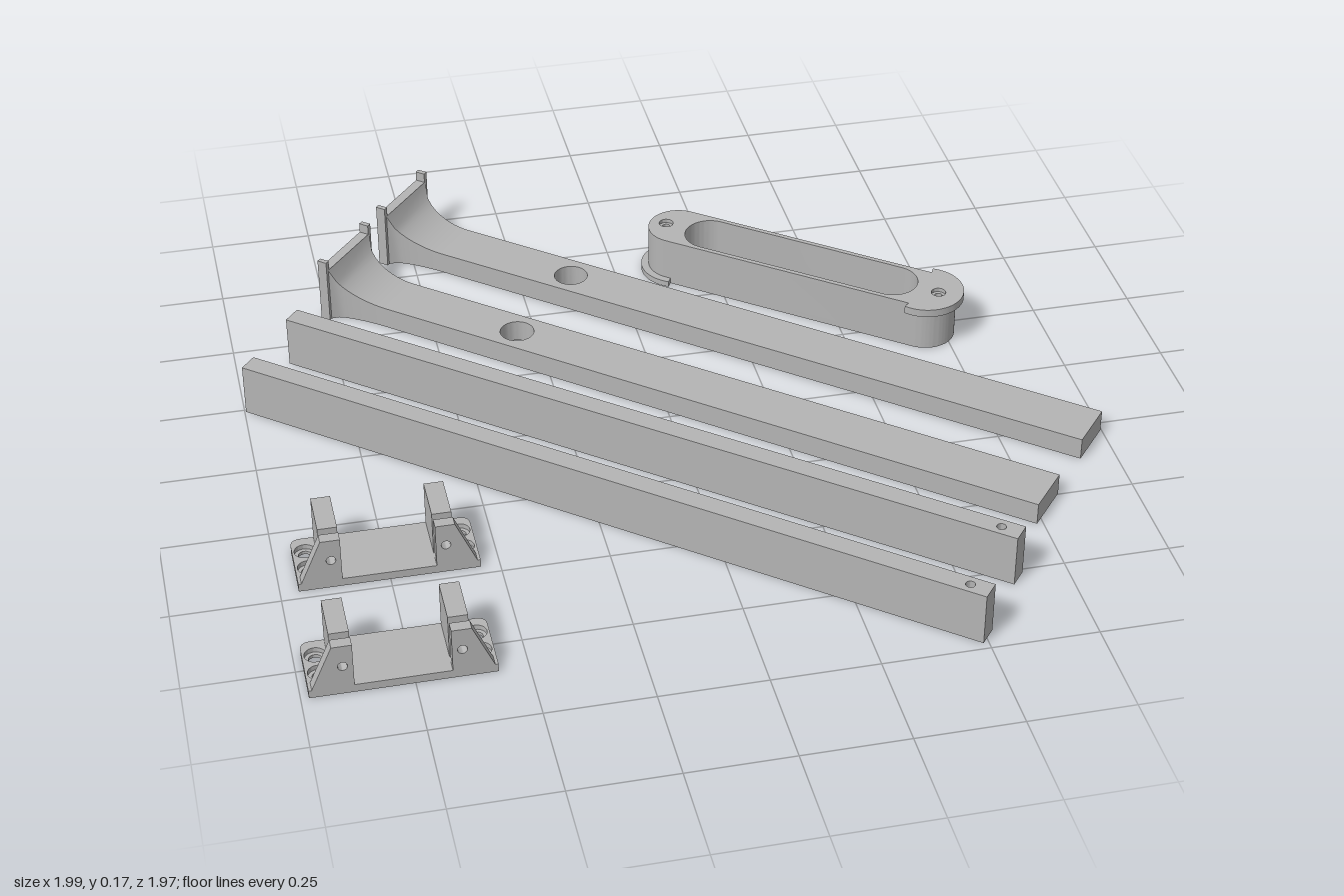
import * as THREE from 'three';
import { toCreasedNormals } from 'three/addons/utils/BufferGeometryUtils.js';

const grey = new THREE.MeshStandardMaterial({ color: 0xb4b4b4 });
grey.name = 'plain grey';

function add(parent, name, geo) {
  const mesh = new THREE.Mesh(toCreasedNormals(geo, 0.6), grey);
  mesh.name = name;
  parent.add(mesh);
  return mesh;
}

// Box given by its min and max corners
function block(parent, name, [x0, y0, z0], [x1, y1, z1]) {
  const geo = new THREE.BoxGeometry(x1 - x0, y1 - y0, z1 - z0);
  geo.translate((x0 + x1) / 2, (y0 + y1) / 2, (z0 + z1) / 2);
  return add(parent, name, geo);
}

// Plan outline (x, z) raised from y0 to y1
function slab(parent, name, shape, y0, y1) {
  const geo = new THREE.ExtrudeGeometry(shape, { depth: y1 - y0, bevelEnabled: false, curveSegments: 24 });
  geo.rotateX(Math.PI / 2).translate(0, y1, 0);
  return add(parent, name, geo);
}

const circle = (x, y, r) => new THREE.Path().absarc(x, y, r, 0, Math.PI * 2, false);
const polygon = (pts) => new THREE.Shape(pts.map(([x, y]) => new THREE.Vector2(x, y)));
const rect = (x0, x1, w) => polygon([[x0, -w], [x1, -w], [x1, w], [x0, w]]);

function capsule(c, r) {
  const s = new THREE.Shape();
  s.absarc(c, 0, r, -Math.PI / 2, Math.PI / 2, false);
  s.absarc(-c, 0, r, Math.PI / 2, Math.PI * 1.5, false);
  s.closePath();
  return s;
}

function place(root, name, x, z, degrees) {
  const g = new THREE.Group();
  g.name = name;
  g.position.set(x, 0, z);
  g.rotation.y = -THREE.MathUtils.degToRad(degrees);
  root.add(g);
  return g;
}

// Slim upright rail with a small pin hole near its front end
function slimRail(g) {
  const s = rect(0, 1.924, 0.025);
  s.holes.push(circle(1.875, 0, 0.011));
  slab(g, 'rail', s, 0, 0.13);
}

// Four-sided loft that sweeps up and out from the bar to the end plate
function flareGeometry(x0, x1) {
  const n = 16, pos = [], idx = [];
  for (let i = 0; i <= n; i++) {
    const t = Math.sin((i / n) * Math.PI / 2);
    const k = 1 - Math.sqrt(Math.max(0, 1 - (1 - t) ** 2));
    const x = x0 + (x1 - x0) * t, w = 0.065 + 0.031 * k, h = 0.055 + 0.088 * k;
    pos.push(x, 0, -w, x, h, -w, x, h, w, x, 0, w);
  }
  for (let i = 0; i < n; i++) for (let j = 0; j < 4; j++) {
    const a = i * 4 + j, b = i * 4 + (j + 1) % 4;
    idx.push(a, b, b + 4, a, b + 4, a + 4);
  }
  const geo = new THREE.BufferGeometry();
  geo.setAttribute('position', new THREE.Float32BufferAttribute(pos, 3));
  geo.setIndex(idx);
  return geo.toNonIndexed();
}

// Flat arm with a round hole and a flared, rimmed end plate
function flatArm(g) {
  const s = rect(0.02, 1.925, 0.065);
  s.holes.push(circle(0.51, 0, 0.042));
  slab(g, 'arm', s, 0, 0.055);
  add(g, 'flare', flareGeometry(0.025, 0.17));
  block(g, 'endPlate', [0.008, 0, -0.102], [0.025, 0.145, 0.102]);
  block(g, 'bottomRim', [0, 0, -0.092], [0.008, 0.01, 0.092]);
  block(g, 'topRim', [0, 0.135, -0.092], [0.008, 0.145, 0.092]);
  for (const side of [-1, 1]) {
    block(g, 'sideTab', [0, 0, side * 0.098 - 0.006], [0.025, 0.17, side * 0.098 + 0.006]);
  }
}

// Long rounded tray with drain holes, screw pads and two end lips
function tray(g) {
  const c = 0.34, r = 0.077, top = 0.125;
  const layer = (name, y0, y1, screw, open) => {
    const s = capsule(c, r);
    for (const side of [-1, 1]) s.holes.push(circle(side * 0.375, 0, screw));
    if (open) s.holes.push(capsule(0.25, 0.065));
    else for (let i = 0; i < 6; i++) s.holes.push(circle((i - 2.5) * 0.099, 0, 0.028));
    slab(g, name, s, y0, y1);
  };
  layer('trayFloor', 0, 0.015, 0.01, false);
  layer('trayWall', 0.015, 0.115, 0.01, true);
  layer('trayRim', 0.115, top, 0.018, true);
  const lip = (side, y0, y1) => {
    const s = new THREE.Shape(), a = 1.75, mid = side > 0 ? 0 : Math.PI;
    s.absarc(side * c, 0, 0.096, mid - a, mid + a, false);
    s.absarc(side * c, 0, r - 0.001, mid + a, mid - a, true);
    s.closePath();
    slab(g, 'endLip', s, y0, y1);
  };
  lip(1, 0.105, top);
  lip(-1, 0, 0.015);
}

// Bracket: base with four counterbored holes and two slotted, gusseted towers
function bracket(g) {
  const X = 0.207, Z = 0.0825, q = 0.025;
  const base = (holeRadius, y0, y1) => {
    const s = new THREE.Shape();
    s.moveTo(-X, Z);
    s.lineTo(-X, -Z + q);
    s.quadraticCurveTo(-X, -Z, -X + q, -Z);
    s.lineTo(X - q, -Z);
    s.quadraticCurveTo(X, -Z, X, -Z + q);
    s.lineTo(X, Z);
    s.closePath();
    for (const x of [-0.178, 0.178]) for (const z of [-0.035, 0.025]) s.holes.push(circle(x, z, holeRadius));
    slab(g, 'base', s, y0, y1);
  };
  base(0.015, 0, 0.008);
  base(0.024, 0.008, 0.02);
  for (const side of [-1, 1]) {
    const upright = (name, foot, z0, z1) => {
      const s = polygon([[0.107, 0.02], [foot, 0.02], [0.152, 0.13], [0.107, 0.13]].map(([x, y]) => [x * side, y]));
      s.holes.push(circle(0.13 * side, 0.075, 0.011));
      const geo = new THREE.ExtrudeGeometry(s, { depth: z1 - z0, bevelEnabled: false, curveSegments: 16 });
      add(g, name, geo.translate(0, 0, z0));
    };
    upright('towerWall', 0.152, -Z, 0.035);
    upright('towerGusset', 0.2, 0.055, Z);
  }
}

export function createModel() {
  const root = new THREE.Group();
  root.name = 'partsKit';
  slimRail(place(root, 'outerSlimRail', -0.981, -0.262, 39.5));
  slimRail(place(root, 'innerSlimRail', -0.853, -0.444, 39.5));
  flatArm(place(root, 'rearFlatArm', -0.519, -0.909, 40));
  flatArm(place(root, 'frontFlatArm', -0.698, -0.69, 40));
  tray(place(root, 'tray', 0.434, -0.433, 38));
  bracket(place(root, 'frontBracket', -0.775, 0.76, 0));
  bracket(place(root, 'rearBracket', -0.751, 0.392, 0));
  return root;
}
